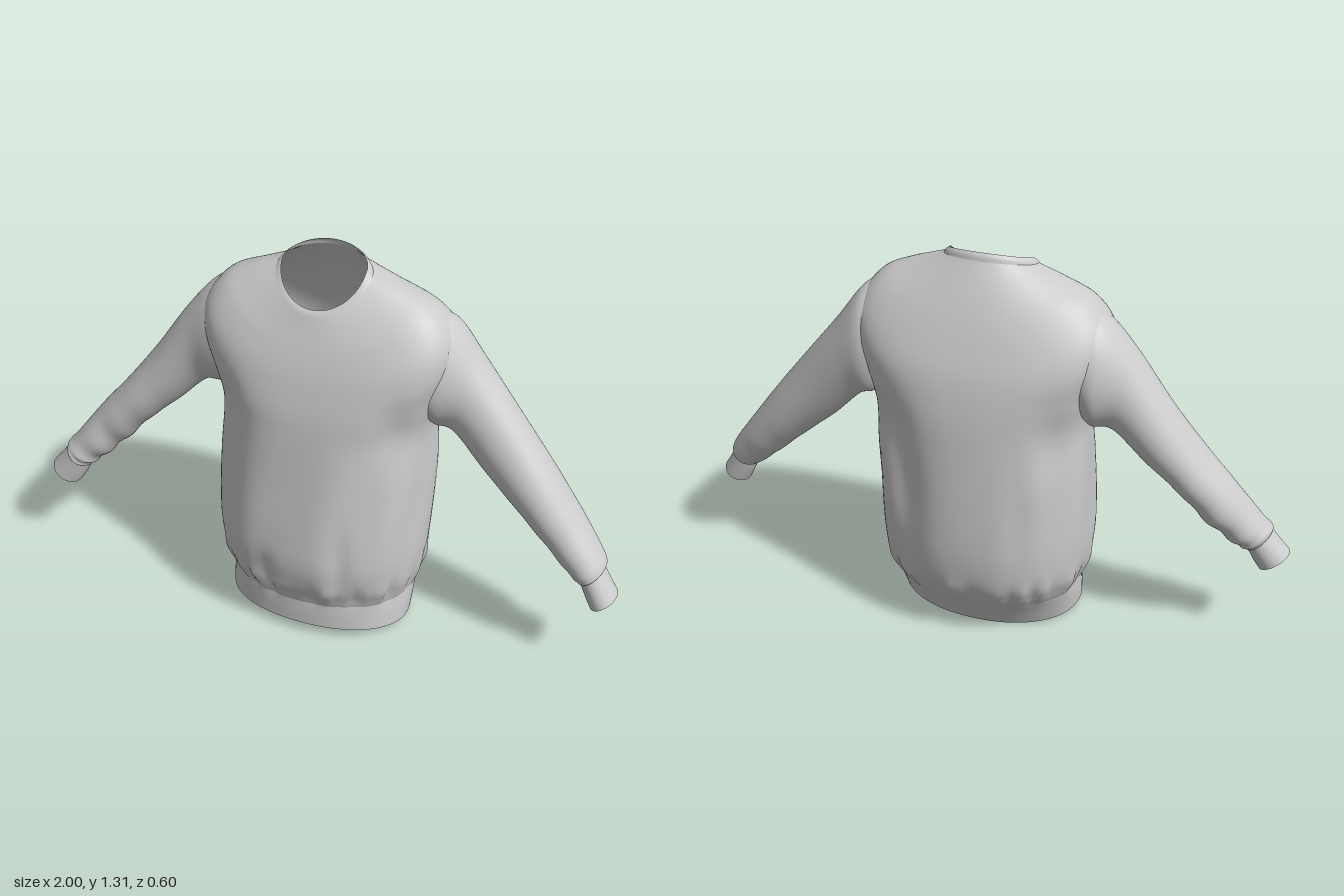
import * as THREE from 'three';

const material = new THREE.MeshStandardMaterial({ color: 0xcccccc, side: THREE.DoubleSide });
const SEG = 96;

// Catmull-Rom blend through rows of numbers, t from 0 to 1
function sampleRows(rows, t) {
  const f = t * (rows.length - 1);
  const i = Math.min(Math.floor(f), rows.length - 2);
  const u = f - i;
  const row = (k) => rows[Math.max(0, Math.min(rows.length - 1, k))];
  return rows[i].map((_, c) => {
    const [a, b, d, e] = [row(i - 1)[c], row(i)[c], row(i + 1)[c], row(i + 2)[c]];
    return 0.5 * (2 * b + (d - a) * u + (2 * a - 5 * b + 4 * d - e) * u * u
      + (3 * b - a - 3 * d + e) * u * u * u);
  });
}

// Skin over closed rings; pointAt(row, angle, t) gives each vertex
function loft(name, rows, steps, pointAt, { flip = false, skip = null } = {}) {
  const pos = [], index = [];
  for (let i = 0; i <= steps; i++) {
    const row = sampleRows(rows, i / steps);
    for (let j = 0; j < SEG; j++) {
      pos.push(...pointAt(row, (j / SEG) * Math.PI * 2, i / steps));
    }
  }
  for (let i = 0; i < steps; i++) {
    for (let j = 0; j < SEG; j++) {
      const a = i * SEG + j, b = i * SEG + (j + 1) % SEG, c = a + SEG, d = b + SEG;
      if (skip && skip(pos[a * 3], pos[a * 3 + 1], pos[a * 3 + 2])) continue;
      if (flip) index.push(a, b, c, b, d, c);
      else index.push(a, c, b, b, c, d);
    }
  }
  const geo = new THREE.BufferGeometry();
  geo.setAttribute('position', new THREE.Float32BufferAttribute(pos, 3));
  geo.setIndex(index);
  geo.computeVertexNormals();
  const mesh = new THREE.Mesh(geo, material);
  mesh.name = name;
  return mesh;
}

const bump = (v, centre, width) => Math.exp(-(((v - centre) / width) ** 2));

// Dents pressed into the body: x, y, side (1 front, -1 back), width, height, depth
const dents = [
  [-0.29, 0.82, 1, 0.05, 0.10, 0.025], [0.29, 0.82, 1, 0.05, 0.10, 0.025],
  [0.26, 0.73, -1, 0.07, 0.11, 0.045], [0.19, 0.54, -1, 0.05, 0.14, 0.02],
  [-0.28, 0.76, -1, 0.05, 0.12, 0.03], [-0.2, 0.5, -1, 0.05, 0.25, 0.015],
  [0.14, 0.34, 1, 0.03, 0.13, 0.014], [-0.12, 0.26, 1, 0.03, 0.07, 0.012],
];

// Body ring: half width, centre x, front z, back z, front y, side y, back y, slope power, squareness
function bodyPoint([w, cx, zF, zB, yF, yS, yB, slope, square], a) {
  const c = Math.cos(a), s = Math.sin(a);
  const power = 2 / square;
  let x = cx + w * Math.sign(c) * Math.abs(c) ** power;
  const n = Math.sign(s) * Math.abs(s) ** power;
  let z = (zF + zB) / 2 + ((zF - zB) / 2) * n;
  const y = yS + ((s > 0 ? yF : yB) - yS) * Math.abs(s) ** slope;
  // gathers above the hem band
  const gather = (Math.sin(a * 17 + Math.sin(a * 3) * 2) + 0.6 * Math.sin(a * 29 + 1))
    * 0.006 * bump(y, 0.19, 0.05);
  // long soft vertical folds
  const fold = 0.005 * Math.sin(a * 9 + y * 4) * bump(y, 0.5, 0.25);
  x += c * (gather + fold);
  z += s * (gather + fold);
  for (const [dx, dy, side, dw, dh, depth] of dents) {
    if (s * side > 0) z -= side * depth * Math.abs(s) * bump(x, dx, dw) * bump(y, dy, dh);
  }
  return [x, y, z];
}

const hemTop = [0.315, -0.005, 0.260, -0.228, 0.135, 0.13, 0.125, 1.2, 2.2];
const neckBase = [0.152, -0.010, 0.130, -0.096, 1.160, 1.264, 1.292, 1.2, 2];
const bodyRows = [
  hemTop,
  [0.325, -0.006, 0.270, -0.250, 0.165, 0.16, 0.16, 2, 2.25],
  [0.342, -0.008, 0.290, -0.277, 0.22, 0.22, 0.22, 2, 2.3],
  [0.351, -0.008, 0.302, -0.292, 0.31, 0.31, 0.31, 2, 2.3],
  [0.354, -0.006, 0.294, -0.297, 0.42, 0.42, 0.42, 2, 2.3],
  [0.354, -0.002, 0.270, -0.295, 0.60, 0.60, 0.60, 2, 2.3],
  [0.350, 0, 0.249, -0.288, 0.77, 0.77, 0.77, 2, 2.35],
  [0.376, 0, 0.235, -0.275, 0.86, 0.90, 0.88, 2, 2.5],
  [0.410, 0, 0.215, -0.255, 0.94, 1.02, 0.97, 2, 2.6],
  [0.400, 0, 0.197, -0.225, 1.00, 1.11, 1.05, 2, 2.6],
  [0.340, 0, 0.174, -0.185, 1.06, 1.187, 1.14, 1.8, 2.4],
  [0.250, -0.004, 0.152, -0.142, 1.11, 1.232, 1.22, 1.5, 2.15],
  neckBase,
];
const hemRows = [
  [0.313, -0.005, 0.262, -0.152, 0.042, 0.022, 0.003, 1.1, 2.15],
  [0.316, -0.005, 0.262, -0.190, 0.09, 0.08, 0.07, 1.1, 2.15],
  hemTop,
];
const collarRows = [
  neckBase,
  [0.145, -0.011, 0.125, -0.092, 1.168, 1.273, 1.306, 1.1, 2],
  [0.135, -0.011, 0.117, -0.083, 1.176, 1.279, 1.316, 1.1, 2],
];

// Sleeve ring: upper edge x, y, lower edge x, y, front z, back z
const sleeves = {
  left: {
    arm: [
      [0.330, 1.165, 0.325, 0.815, 0.112, -0.160],
      [0.395, 1.135, 0.360, 0.770, 0.088, -0.172],
      [0.490, 1.010, 0.415, 0.750, 0.055, -0.157],
      [0.620, 0.850, 0.520, 0.645, 0.065, -0.134],
      [0.740, 0.700, 0.640, 0.540, 0.085, -0.115],
      [0.850, 0.555, 0.750, 0.440, 0.095, -0.090],
      [0.925, 0.455, 0.835, 0.365, 0.105, -0.060],
      [0.950, 0.412, 0.865, 0.345, 0.104, -0.045],
      [0.945, 0.398, 0.877, 0.340, 0.095, -0.025],
    ],
    cuff: [
      [0.945, 0.398, 0.877, 0.340, 0.095, -0.025],
      [0.970, 0.358, 0.895, 0.300, 0.100, -0.022],
      [1.000, 0.312, 0.918, 0.257, 0.106, -0.018],
    ],
  },
  right: {
    arm: [
      [-0.330, 1.165, -0.325, 0.815, 0.118, -0.155],
      [-0.400, 1.130, -0.365, 0.770, 0.108, -0.158],
      [-0.490, 1.025, -0.430, 0.760, 0.092, -0.118],
      [-0.610, 0.850, -0.530, 0.665, 0.100, -0.102],
      [-0.720, 0.705, -0.640, 0.565, 0.115, -0.082],
      [-0.820, 0.585, -0.735, 0.462, 0.125, -0.055],
      [-0.910, 0.465, -0.815, 0.388, 0.145, -0.015],
      [-0.938, 0.432, -0.850, 0.360, 0.152, 0.005],
      [-0.938, 0.415, -0.865, 0.350, 0.148, 0.022],
    ],
    cuff: [
      [-0.938, 0.415, -0.865, 0.350, 0.148, 0.022],
      [-0.966, 0.380, -0.883, 0.312, 0.152, 0.029],
      [-1.000, 0.340, -0.905, 0.275, 0.157, 0.035],
    ],
  },
};

// wrinkle sets the strength of the creases around the forearm
const sleevePoint = (wrinkle) => ([tx, ty, bx, by, zF, zB], a, t) => {
  const crease = 1 + wrinkle * bump(t, 0.72, 0.2) * Math.sin(t * 55 + 2 * Math.sin(a)) * (0.5 - 0.5 * Math.cos(a));
  const c = Math.cos(a) * crease * 0.5, s = Math.sin(a) * crease * 0.5;
  return [(tx + bx) / 2 + (tx - bx) * c, (ty + by) / 2 + (ty - by) * c, (zF + zB) / 2 + (zF - zB) * s];
};

export function createModel() {
  const sweater = new THREE.Group();
  sweater.name = 'sweater';

  // Body with open armholes, hem band and neckline
  const armhole = (x, y, z) => Math.abs(x) > 0.365 && Math.abs(y - 0.97) < 0.11 && Math.abs(z + 0.04) < 0.08;
  sweater.add(
    loft('body', bodyRows, 120, bodyPoint, { skip: armhole }),
    loft('hemBand', hemRows, 12, bodyPoint),
    loft('collar', collarRows, 10, bodyPoint),
  );

  // Sleeves with narrow cuffs
  for (const [side, { arm, cuff }] of Object.entries(sleeves)) {
    const flip = side === 'left';
    sweater.add(
      loft(`${side}Sleeve`, arm, 80, sleevePoint(flip ? 0.02 : 0.07), { flip }),
      loft(`${side}Cuff`, cuff, 10, sleevePoint(0), { flip }),
    );
  }
  return sweater;
}
